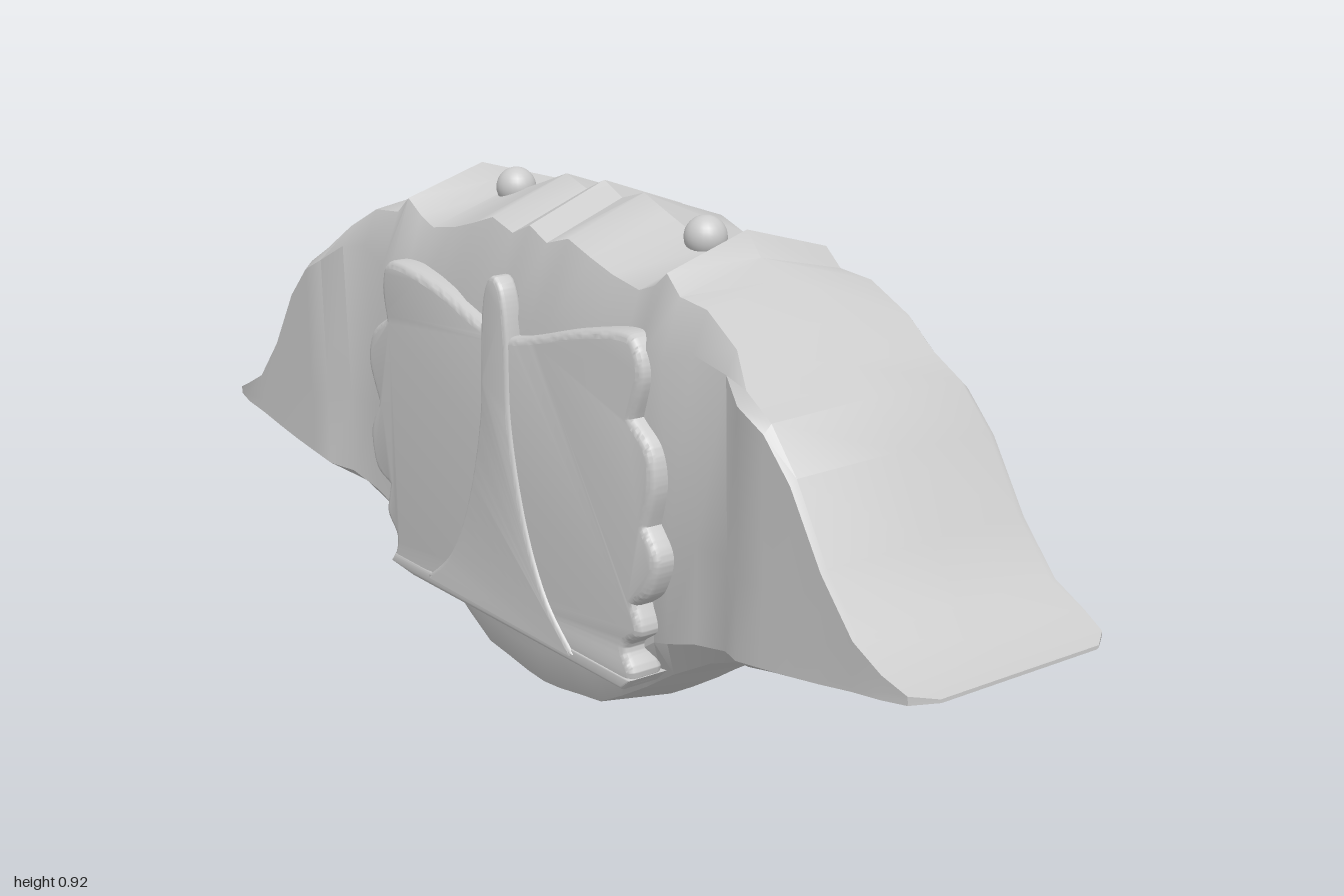
import * as THREE from 'three';
import { toCreasedNormals } from 'three/addons/utils/BufferGeometryUtils.js';

const material = new THREE.MeshStandardMaterial({ color: 0xcccccc, side: THREE.DoubleSide });

// Half of the shell, centre to tip: x, top, bottom, front z, back z, roundness
const STATIONS = [
  [0, 0.92, 0.003, 0.195, 0.222, 1],
  [0.05, 0.897, 0.008, 0.195, 0.222, 1],
  [0.11, 0.915, 0.017, 0.195, 0.222, 1],
  [0.17, 0.893, 0.026, 0.195, 0.222, 1],
  [0.23, 0.872, 0.06, 0.195, 0.222, 1],
  [0.3, 0.856, 0.103, 0.195, 0.222, 1],
  [0.34, 0.87, 0.13, 0.195, 0.223, 1],
  [0.375, 0.897, 0.152, 0.2, 0.223, 1],
  [0.41, 0.858, 0.175, 0.198, 0.218, 0.9],
  [0.48, 0.838, 0.22, 0.193, 0.207, 0.65],
  [0.56, 0.782, 0.258, 0.193, 0.204, 0.4],
  [0.61, 0.728, 0.276, 0.213, 0.204, 0.25],
  [0.67, 0.69, 0.29, 0.213, 0.204, 0.18],
  [0.73, 0.62, 0.304, 0.213, 0.204, 0.12],
  [0.8, 0.502, 0.32, 0.213, 0.204, 0.1],
  [0.87, 0.418, 0.336, 0.213, 0.204, 0.08],
  [0.93, 0.386, 0.346, 0.213, 0.204, 0.05],
  [0.975, 0.367, 0.352, 0.205, 0.195, 0.05],
  [1, 0.361, 0.355, 0.165, 0.16, 0.05],
];

// Closed cross-section, running from the crest over the front and round the back
function section([x, top, bottom, front, back, c]) {
  const h = top - bottom;
  const edge = 0.96 - 0.16 * c;
  const low = 1 - 0.1 * c;
  const under = 0.9 - 0.21 * c;
  const t1 = top - h * 0.065 * c, t2 = top - h * (0.01 + 0.21 * c);
  const b1 = bottom + h * 0.03 * c, b2 = bottom + h * (0.02 + 0.1 * c);
  const mid = bottom + h * 0.35;
  return [
    [top, 0], [t1, front * edge], [t2, front], [mid, front * low], [b2, front * low], [b1, front * under],
    [bottom, -0.02], [b1, -back * (under + 0.06)], [b2, -back * 0.97], [mid, -back], [t2, -back],
    [t1, -back * (edge - 0.04 * c)],
  ].map(([y, z]) => [x, y, z]);
}

function shellGeometry() {
  const left = STATIONS.slice(1).reverse().map(([x, ...rest]) => [-x, ...rest]);
  const rings = [...left, ...STATIONS].map(section);
  const n = rings[0].length, last = rings.length - 1;
  const index = [];
  for (let i = 0; i < last; i++) {
    for (let j = 0; j < n; j++) {
      const a = i * n + j, a2 = i * n + (j + 1) % n;
      index.push(a, a2, a + n, a2, a2 + n, a + n);
    }
  }
  // Tip caps
  for (let j = 1; j < n - 1; j++) {
    index.push(0, j + 1, j);
    index.push(last * n, last * n + j, last * n + j + 1);
  }
  const geometry = new THREE.BufferGeometry();
  geometry.setAttribute('position', new THREE.Float32BufferAttribute(rings.flat(2), 3));
  geometry.setIndex(index);
  return toCreasedNormals(geometry, 0.6);
}

// Bevelled slab between two z depths
function slab(shape, zBack, zFront, bevel) {
  const geometry = new THREE.ExtrudeGeometry(shape, {
    depth: zFront - zBack - 2 * bevel, bevelThickness: bevel, bevelSize: bevel,
    bevelOffset: -bevel, bevelSegments: 3, curveSegments: 12, steps: 1,
  });
  geometry.translate(0, 0, zBack + bevel);
  return toCreasedNormals(geometry, 0.7);
}

const points = (list) => list.map(([x, y]) => new THREE.Vector2(x, y));

// Plate with scalloped sides and a dipped upper edge
function plateShape() {
  const s = new THREE.Shape();
  s.moveTo(-0.37, 0.18);
  s.lineTo(0.35, 0.165);
  s.splineThru(points([[0.365, 0.19], [0.345, 0.23], [0.385, 0.265], [0.37, 0.31]]));
  s.splineThru(points([[0.405, 0.34], [0.425, 0.4], [0.395, 0.45]]));
  s.splineThru(points([[0.415, 0.52], [0.405, 0.58], [0.36, 0.62]]));
  s.splineThru(points([[0.385, 0.69], [0.37, 0.74], [0.33, 0.755], [0.2, 0.73], [0.04, 0.685],
    [-0.05, 0.685], [-0.2, 0.728], [-0.35, 0.745], [-0.385, 0.7], [-0.375, 0.635]]));
  s.splineThru(points([[-0.425, 0.6], [-0.44, 0.54], [-0.41, 0.47]]));
  s.splineThru(points([[-0.44, 0.41], [-0.425, 0.34], [-0.38, 0.315]]));
  s.splineThru(points([[-0.39, 0.26], [-0.36, 0.22], [-0.37, 0.18]]));
  return s;
}

// Tapered spine, flaring towards its foot
function spineShape() {
  const s = new THREE.Shape();
  s.moveTo(-0.24, 0.18);
  s.lineTo(0.21, 0.172);
  s.splineThru(points([[0.13, 0.25], [0.07, 0.37], [0.03, 0.53], [0.023, 0.68], [0.01, 0.755],
    [-0.015, 0.78], [-0.04, 0.755], [-0.053, 0.68], [-0.06, 0.53], [-0.1, 0.37], [-0.16, 0.25], [-0.24, 0.18]]));
  return s;
}

export function createModel() {
  const group = new THREE.Group();
  const add = (name, geometry) => {
    const mesh = new THREE.Mesh(geometry, material);
    mesh.name = name;
    group.add(mesh);
    return mesh;
  };

  add('shell', shellGeometry());
  add('bellyPlate', slab(plateShape(), 0.15, 0.218, 0.014));
  add('bellySpine', slab(spineShape(), 0.185, 0.224, 0.008));

  // Thin lip under the plate
  const lip = new THREE.Shape(points([[-0.375, 0.168], [-0.3, 0.16], [0.34, 0.156], [0.365, 0.18], [-0.36, 0.188]]));
  add('plateLip', slab(lip, 0.14, 0.22, 0.006));

  for (const [name, x] of [['leftEye', 0.273], ['rightEye', -0.265]]) {
    add(name, new THREE.SphereGeometry(0.036, 24, 16)).position.set(x, 0.868, 0);
  }
  return group;
}
